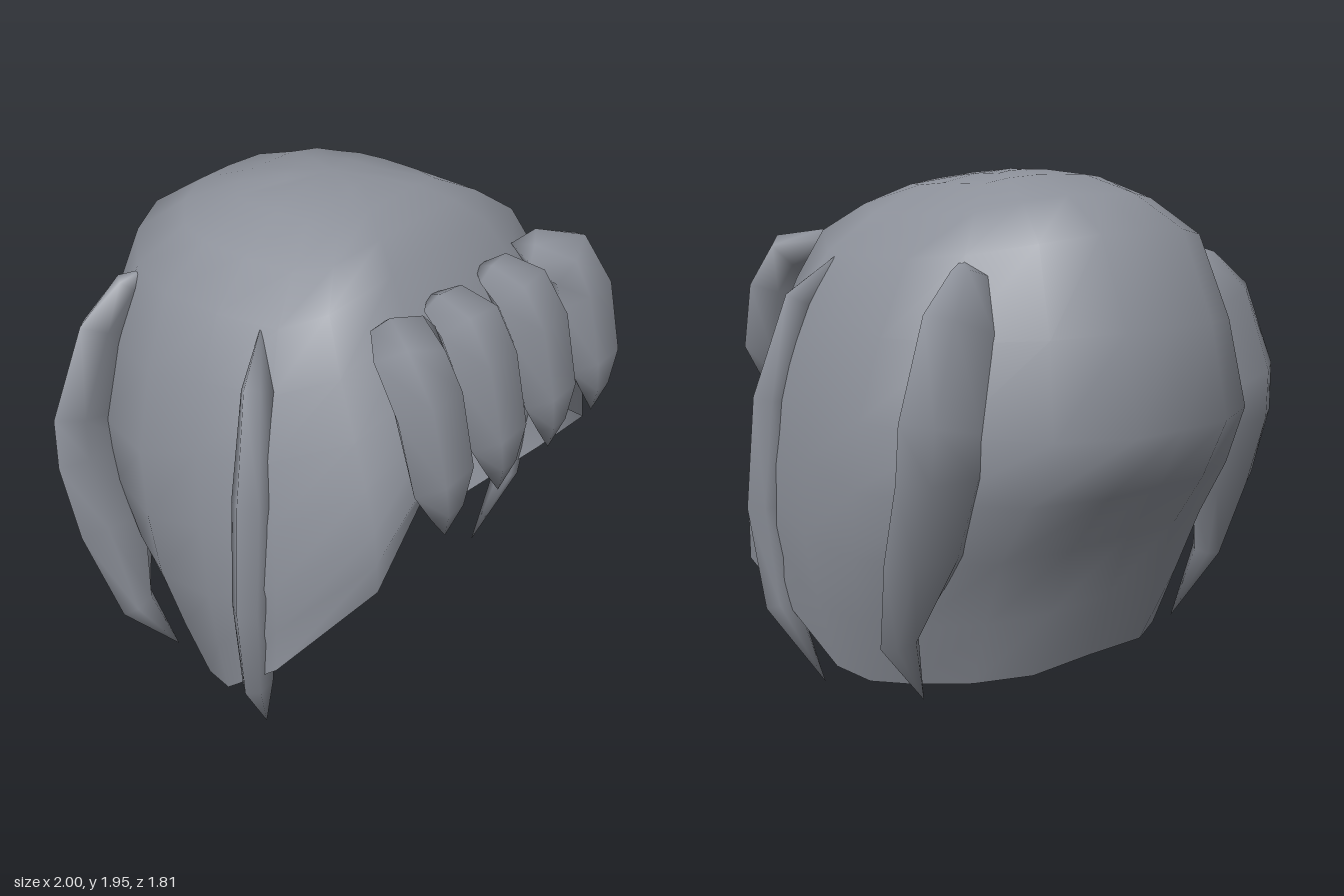
import * as THREE from 'three';
import { mergeVertices } from 'three/addons/utils/BufferGeometryUtils.js';

const hair = new THREE.MeshStandardMaterial({ color: 0x8c9099, side: THREE.DoubleSide });
hair.name = 'slate grey hair';

const V = (p) => new THREE.Vector3(...p);

// Skins a list of closed rings into one smooth surface
function skin(rings, name) {
  const n = rings[0].length, pos = [], index = [];
  rings.forEach((r) => r.forEach((p) => pos.push(p.x, p.y, p.z)));
  for (let i = 0; i < rings.length - 1; i++) {
    for (let j = 0; j < n; j++) {
      const a = i * n + j, b = i * n + (j + 1) % n;
      index.push(a, a + n, b, b, a + n, b + n);
    }
  }
  let geo = new THREE.BufferGeometry();
  geo.setAttribute('position', new THREE.Float32BufferAttribute(pos, 3));
  geo.setIndex(index);
  geo = mergeVertices(geo, 1e-4);
  geo.computeVertexNormals();
  const mesh = new THREE.Mesh(geo, hair);
  mesh.name = name;
  return mesh;
}

// Meridians of the left half, front to back: crown, upper, middle, low, rim
const meridians = [
  [[0, 1.92, 0.27], [0, 1.79, 0.48], [0, 1.5, 0.68], [0, 1.27, 0.765], [0, 1.12, 0.7]],
  [[0.15, 1.92, 0.27], [0.3, 1.78, 0.47], [0.37, 1.46, 0.67], [0.39, 1.22, 0.75], [0.4, 1.08, 0.7]],
  [[0.29, 1.9, 0.25], [0.58, 1.73, 0.42], [0.68, 1.36, 0.6], [0.72, 1.07, 0.71], [0.73, 0.85, 0.735]],
  [[0.33, 1.9, 0.14], [0.66, 1.66, 0.27], [0.84, 1.28, 0.37], [0.92, 0.85, 0.45], [0.93, 0.5, 0.45]],
  [[0.33, 1.91, 0], [0.69, 1.66, 0.03], [0.87, 1.22, 0.07], [0.9, 0.65, 0.12], [0.79, 0.13, 0.09]],
  [[0.33, 1.91, -0.12], [0.67, 1.66, -0.22], [0.87, 1.12, -0.2], [0.87, 0.62, -0.14], [0.74, 0.1, -0.05]],
  [[0.3, 1.91, -0.2], [0.59, 1.68, -0.43], [0.74, 1.1, -0.52], [0.75, 0.62, -0.36], [0.64, 0.1, -0.18]],
  [[0.23, 1.93, -0.25], [0.41, 1.72, -0.6], [0.5, 1.08, -0.77], [0.53, 0.62, -0.54], [0.49, 0.11, -0.34]],
  [[0.12, 1.94, -0.28], [0.21, 1.75, -0.69], [0.23, 1.08, -0.9], [0.27, 0.64, -0.63], [0.29, 0.12, -0.45]],
  [[0, 1.94, -0.28], [0, 1.75, -0.71], [0, 1.08, -0.9], [0, 0.65, -0.65], [0, 0.13, -0.46]],
];

function hairCap() {
  const mirrored = meridians.slice(1, -1).reverse().map((m) => m.map(([x, y, z]) => [-x, y, z]));
  const steps = 10;
  const lines = [...meridians, ...mirrored].map((m) =>
    new THREE.CatmullRomCurve3([[0, 1.96, 0], ...m].map(V), false, 'catmullrom', 0.35).getPoints(steps));
  const rings = [];
  for (let i = 0; i <= steps; i++) rings.push(lines.map((l) => l[i]));
  return skin(rings, 'hairCap');
}

// Tapered lock along a path; sizes are [half width across x, half thickness]
function lock(name, side, path, sizes) {
  const pts = path.map(([x, y, z]) => new THREE.Vector3(x * side, y, z));
  const rings = pts.map((p, i) => {
    const t = pts[Math.min(i + 1, pts.length - 1)].clone().sub(pts[Math.max(i - 1, 0)]).normalize();
    const w = new THREE.Vector3(1, 0, 0).addScaledVector(t, -t.x).normalize();
    const d = new THREE.Vector3().crossVectors(t, w);
    const ring = [];
    for (let k = 0; k < 6; k++) {
      const a = (k / 6) * Math.PI * 2;
      ring.push(p.clone().addScaledVector(w, Math.cos(a) * sizes[i][0])
        .addScaledVector(d, Math.sin(a) * sizes[i][1]));
    }
    return ring;
  });
  return skin(rings, name);
}

export function createModel() {
  const model = new THREE.Group();
  model.name = 'hair';
  model.add(hairCap());

  for (const side of [1, -1]) {
    const s = side > 0 ? 'Left' : 'Right';

    // Curled fringe over the forehead
    [['innerFringe', 0.15, 0.18], ['outerFringe', 0.41, 0.525]].forEach(([name, top, mid]) => {
      model.add(lock(name + s, side,
        [[top, 1.67, 0.52], [top + 0.01, 1.67, 0.6], [mid - 0.01, 1.62, 0.7], [mid, 1.5, 0.775],
          [mid, 1.25, 0.84], [mid, 1.13, 0.86], [mid, 1.02, 0.86]],
        [[0, 0], [0.12, 0.055], [0.16, 0.09], [0.17, 0.09], [0.165, 0.08], [0.09, 0.045], [0, 0]]));
    });

    // Long lock in front of the ear
    model.add(lock('frontLock' + s, side,
      [[0.66, 1.66, 0.2], [0.78, 1.49, 0.28], [0.88, 1.13, 0.33], [0.915, 0.73, 0.34],
        [0.88, 0.35, 0.32], [0.745, 0.01, 0.24]],
      [[0, 0], [0.07, 0.05], [0.085, 0.07], [0.085, 0.065], [0.07, 0.05], [0, 0]]));

    // Broad lock behind the ear
    model.add(lock('backLock' + s, side,
      [[0.58, 1.66, -0.41], [0.59, 1.61, -0.46], [0.665, 1.45, -0.51], [0.765, 1.13, -0.54],
        [0.77, 0.97, -0.53], [0.78, 0.68, -0.45], [0.82, 0.36, -0.34], [0.67, 0.08, -0.28]],
      [[0.01, 0.01], [0.08, 0.05], [0.17, 0.07], [0.2, 0.07], [0.2, 0.07], [0.185, 0.06],
        [0.08, 0.05], [0, 0]]));
  }
  return model;
}
